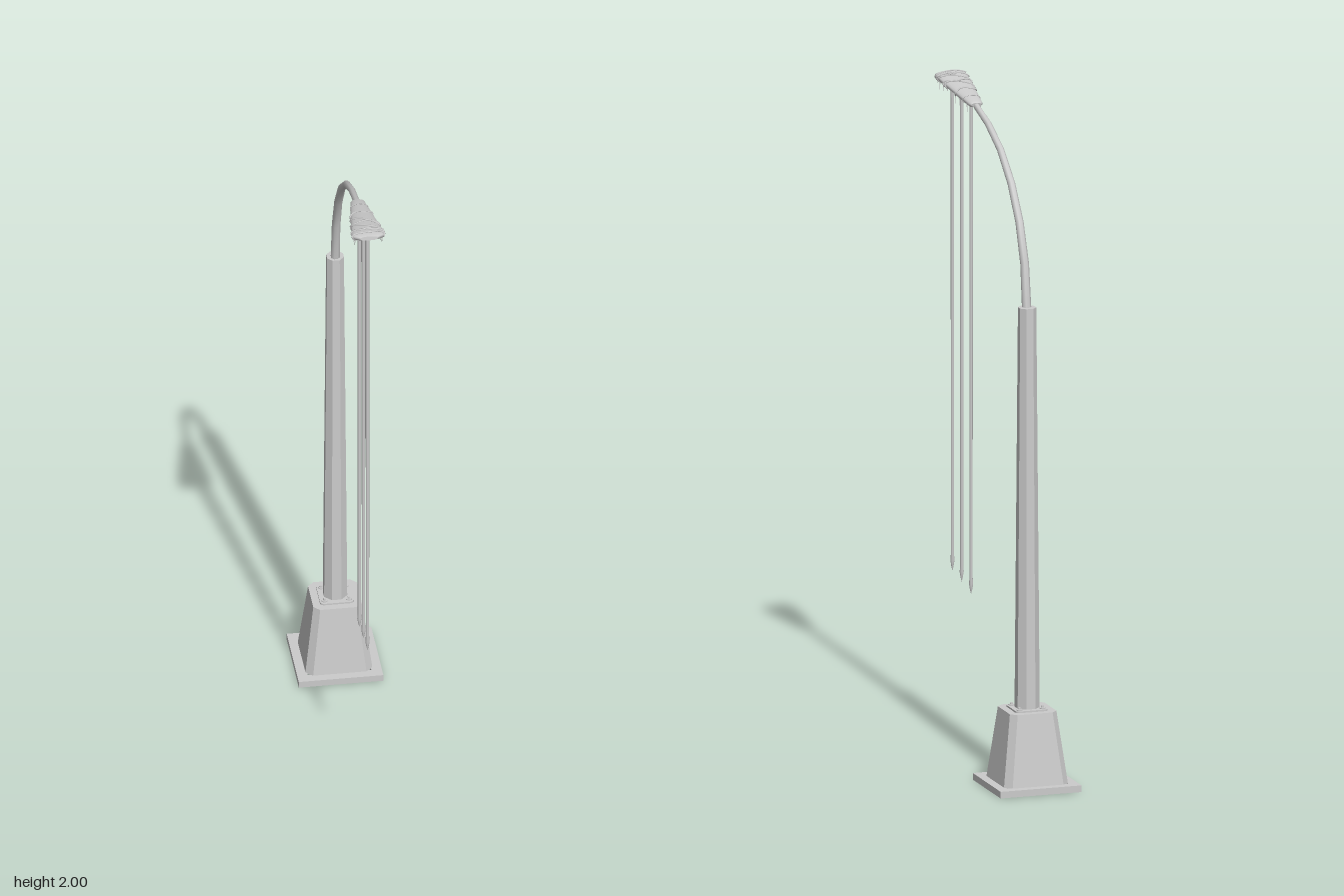
import * as THREE from 'three';

const V = (x, y, z) => new THREE.Vector3(x, y, z);
const POLE_Z = -0.293;
const flat = new THREE.MeshStandardMaterial({ color: 0xcccccc, flatShading: true });
const shell = new THREE.MeshStandardMaterial({ color: 0xcccccc, flatShading: true, side: THREE.DoubleSide });
const smooth = new THREE.MeshStandardMaterial({ color: 0xcccccc });

function add(parent, name, geometry, material, x = 0, y = 0, z = 0) {
  const mesh = new THREE.Mesh(geometry, material);
  mesh.name = name;
  mesh.position.set(x, y, z);
  parent.add(mesh);
  return mesh;
}

// Skin through rings of points that run counter-clockwise around the path
function loft(rings, capStart, capEnd) {
  const n = rings[0].length, pts = rings.flat(), index = [];
  for (let i = 0; i < rings.length - 1; i++)
    for (let j = 0; j < n; j++) {
      const a = i * n + j, b = i * n + (j + 1) % n;
      index.push(a, b, b + n, a, b + n, a + n);
    }
  const cap = (ring, flip) => {
    const s = pts.length;
    pts.push(...ring);
    for (let j = 1; j < n - 1; j++) index.push(s, s + (flip ? j + 1 : j), s + (flip ? j : j + 1));
  };
  if (capStart) cap(rings[0], true);
  if (capEnd) cap(rings[rings.length - 1], false);
  const g = new THREE.BufferGeometry().setFromPoints(pts);
  g.setIndex(index);
  g.computeVertexNormals();
  return g;
}

// Square ring with cut corners, lying level at height y
function cutSquare(half, cut, y) {
  const k = half - cut;
  return [[half, k], [half, -k], [k, -half], [-k, -half], [-half, -k], [-half, k], [-k, half], [k, half]]
    .map(([x, z]) => V(x, y, z));
}

function roundedSquare(half, r) {
  const s = new THREE.Shape(), k = half - r;
  s.absarc(k, k, r, 0, Math.PI / 2);
  s.absarc(-k, k, r, Math.PI / 2, Math.PI);
  s.absarc(-k, -k, r, Math.PI, Math.PI * 1.5);
  s.absarc(k, -k, r, Math.PI * 1.5, Math.PI * 2);
  return s;
}

function makeBase() {
  const base = new THREE.Group();
  base.name = 'base';
  base.position.z = POLE_Z;

  // Ground frame, open in the middle
  const square = h => [[-h, -h], [h, -h], [h, h], [-h, h]].map(p => new THREE.Vector2(...p));
  const frame = new THREE.Shape(square(0.125));
  frame.holes.push(new THREE.Path(square(0.094).reverse()));
  add(base, 'groundFrame', new THREE.ExtrudeGeometry(frame, { depth: 0.02, bevelEnabled: false })
    .rotateX(-Math.PI / 2), flat);

  // Hollow tapered pedestal
  add(base, 'pedestal', loft([cutSquare(0.099, 0.02, 0.018), cutSquare(0.072, 0.018, 0.233)], false, true), shell);

  // Mounting plate with four bolts
  add(base, 'mountingPlate', new THREE.ExtrudeGeometry(roundedSquare(0.05, 0.012),
    { depth: 0.006, bevelEnabled: false, curveSegments: 4 }).rotateX(-Math.PI / 2), flat, 0, 0.232, 0);
  for (const x of [-0.036, 0.036])
    for (const z of [-0.034, 0.034]) {
      add(base, 'washer', new THREE.CylinderGeometry(0.009, 0.009, 0.003, 12), flat, x, 0.2395, z);
      add(base, 'bolt', new THREE.CylinderGeometry(0.004, 0.005, 0.008, 6), flat, x, 0.243, z);
    }

  // Eight-sided pole
  const pole = add(base, 'pole', new THREE.CylinderGeometry(0.027, 0.037, 1.205, 8), flat, 0, 0.8375, 0);
  pole.rotation.y = Math.PI / 8;
  return base;
}

// Tapering arm that curves forward from the pole top
function makeArm() {
  const path = [[1.42, -0.291], [1.44, -0.288], [1.565, -0.271], [1.68, -0.225], [1.78, -0.152],
    [1.86, -0.055], [1.912, 0.055], [1.948, 0.185]].map(([y, z]) => V(0, y, z));
  const rings = path.map((p, i) => {
    const t = path[Math.min(i + 1, path.length - 1)].clone().sub(path[Math.max(i - 1, 0)]).normalize();
    const n = t.cross(V(1, 0, 0));
    const r = 0.0145 - 0.0055 * i / (path.length - 1);
    return Array.from({ length: 8 }, (_, j) => {
      const a = (j + 0.5) * Math.PI / 4;
      return p.clone().addScaledVector(V(1, 0, 0), r * Math.cos(a)).addScaledVector(n, r * Math.sin(a));
    });
  });
  return loft(rings, true, true);
}

// Lamp head: [distance, half width, top height, bottom depth]
const HEAD = [[0, 0.016, 0.006, 0.006], [0.008, 0.021, 0.01, 0.01], [0.046, 0.026, 0.011, 0.011],
  [0.1, 0.033, 0.012, 0.011], [0.17, 0.042, 0.012, 0.012], [0.225, 0.048, 0.012, 0.012],
  [0.243, 0.046, 0.01, 0.011], [0.255, 0.026, 0.005, 0.008]];

function headPoint(s, a, grow = 0) {
  s = THREE.MathUtils.clamp(s, 0, 0.255);
  let i = 0;
  while (i < HEAD.length - 2 && HEAD[i + 1][0] < s) i++;
  const k = (s - HEAD[i][0]) / (HEAD[i + 1][0] - HEAD[i][0]);
  const [w, up, down] = [1, 2, 3].map(c => THREE.MathUtils.lerp(HEAD[i][c], HEAD[i + 1][c], k));
  const c = Math.cos(a), q = Math.sin(a);
  // Domed above, flatter and drawn in below
  const x = q >= 0 ? c * w : Math.sign(c) * Math.pow(Math.abs(c), 0.6) * w;
  const y = q >= 0 ? q * up : -Math.pow(-q, 0.7) * down;
  return V(x + c * grow, y + q * grow, s);
}

function makeHead() {
  const head = new THREE.Group();
  head.name = 'lampHead';
  head.position.set(0, 1.946, 0.16);
  head.rotation.x = -0.165;
  const rings = HEAD.map(([s]) => Array.from({ length: 20 }, (_, j) => headPoint(s, j * Math.PI / 10)));
  add(head, 'housing', loft(rings, true, true), smooth);

  // Vines wound around the head: [distance, slant, waviness]
  for (const [s, slant, wave] of [[0.046, 0, 0], [0.1, 0.003, 0.005], [0.165, 0.003, 0.004],
    [0.152, -0.024, 0.002], [0.195, -0.022, 0.003], [0.212, 0.004, 0.003], [0.218, -0.004, 0.003], [0.236, 0.003, 0.002]]) {
    const pts = Array.from({ length: 32 }, (_, j) => {
      const a = j * Math.PI / 16;
      return headPoint(s - slant * Math.cos(a) + wave * Math.sin(3 * a + s * 40), a, 0.001);
    });
    add(head, wave ? 'vine' : 'seam', new THREE.TubeGeometry(new THREE.CatmullRomCurve3(pts, true), 48,
      wave ? 0.0026 : 0.001, 5, true), smooth);
  }
  return head;
}

// Short tendrils below both edges of the head
function addTendrils(parent, head) {
  head.updateMatrixWorld(true);
  for (const side of [-1, 1])
    for (let i = 0; i < 9; i++) {
      const s = 0.02 + i * 0.027 + (side > 0 ? 0.006 : 0);
      const len = 0.02 + 0.014 * Math.abs(Math.sin(i * 2.3 + side));
      const p = headPoint(s, side > 0 ? -0.7 : Math.PI + 0.7).applyMatrix4(head.matrixWorld);
      add(parent, 'tendril', new THREE.ConeGeometry(0.0022, len, 5).rotateX(Math.PI), flat, p.x, p.y + 0.004 - len / 2, p.z);
    }
}

export function createModel() {
  const model = new THREE.Group();
  model.name = 'streetLamp';
  model.add(makeBase());
  add(model, 'arm', makeArm(), smooth);
  const head = makeHead();
  model.add(head);
  addTendrils(model, head);

  // Long hanging strands with pointed ends: [z, bottom, top]
  for (const [z, low, top] of [[0.376, 0.495, 1.98], [0.293, 0.48, 1.967], [0.209, 0.462, 1.953]]) {
    const profile = [[0, low], [0.0035, low + 0.014], [0.0065, low + 0.032], [0.005, low + 0.05], [0.0055, top], [0, top]]
      .map(p => new THREE.Vector2(...p));
    add(model, 'hangingStrand', new THREE.LatheGeometry(profile, 8), smooth, 0, 0, z);
  }
  return model;
}
